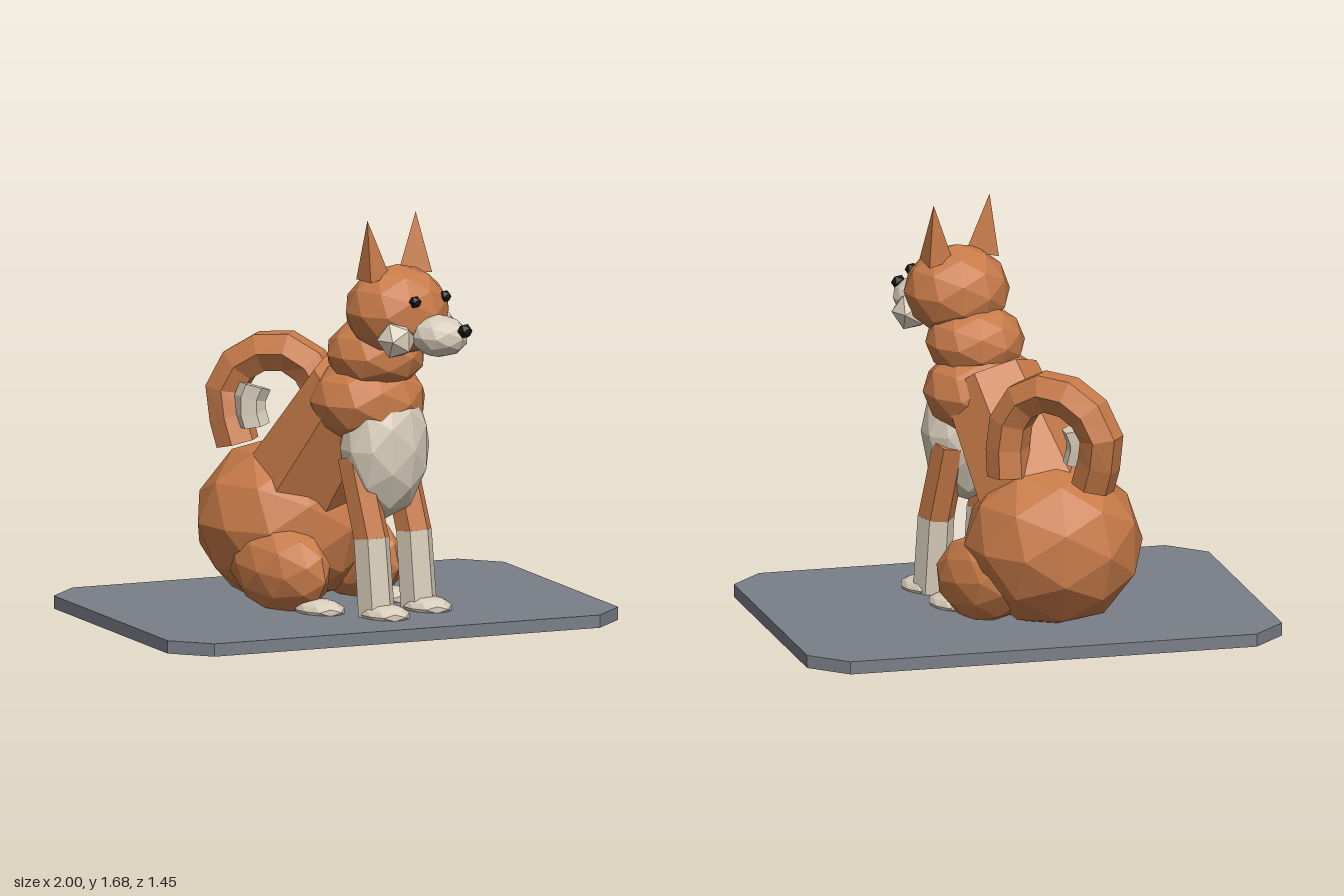
import * as THREE from 'three';

const mat = (name, color) => {
  const m = new THREE.MeshStandardMaterial({ color });
  m.name = name;
  m.flatShading = true;
  return m;
};

// Capped tube through a path lying in an upright plane, with constant side vector
function cappedTube(points, radius, sides, steps) {
  const curve = new THREE.CatmullRomCurve3(points.map(p => new THREE.Vector3(...p)));
  const a = points[0], b = points[points.length - 1];
  const side = new THREE.Vector3(b[2] - a[2], 0, a[0] - b[0]).normalize();
  side.set(-side.x, 0, -side.z).cross(new THREE.Vector3(0, 1, 0)).cross(new THREE.Vector3(0, 1, 0));
  const pos = [], index = [];
  for (let i = 0; i <= steps; i++) {
    const c = curve.getPointAt(i / steps);
    const n = curve.getTangentAt(i / steps).cross(side).normalize();
    for (let j = 0; j < sides; j++) {
      const t = (j / sides) * Math.PI * 2;
      const p = c.clone().addScaledVector(side, Math.cos(t) * radius).addScaledVector(n, Math.sin(t) * radius);
      pos.push(p.x, p.y, p.z);
    }
  }
  for (let i = 0; i < steps; i++) for (let j = 0; j < sides; j++) {
    const k = (j + 1) % sides, r = i * sides, q = r + sides;
    index.push(r + j, r + k, q + j, r + k, q + k, q + j);
  }
  const last = steps * sides;
  for (let j = 1; j < sides - 1; j++) {
    index.push(0, j + 1, j, last, last + j, last + j + 1);
  }
  const g = new THREE.BufferGeometry();
  g.setAttribute('position', new THREE.Float32BufferAttribute(pos, 3));
  g.setIndex(index);
  g.computeVertexNormals();
  return g;
}

export function createModel() {
  const fur = mat('orangeFur', 0xc87b49);
  const cream = mat('creamFur', 0xd8cdbb);
  const black = mat('black', 0x1a1616);
  const slate = mat('slate', 0x7a7e87);

  const root = new THREE.Group();
  root.name = 'sittingDog';
  const dog = new THREE.Group();
  dog.name = 'dog';
  dog.position.set(-0.02, 0, 0.01);
  dog.rotation.y = 0.436;
  root.add(dog);

  const add = (parent, name, geometry, material) => {
    const m = new THREE.Mesh(geometry, material);
    m.name = name;
    parent.add(m);
    return m;
  };
  // Faceted ellipsoid
  const ball = (name, material, [x, y, z], [rx, ry, rz], detail = 1) => {
    const m = add(dog, name, new THREE.IcosahedronGeometry(1, detail), material);
    m.position.set(x, y, z);
    m.scale.set(rx, ry, rz);
    return m;
  };
  // Tapered prism between two points, with one edge along the back
  const limb = (name, material, from, to, r0, r1, sides = 6) => {
    const a = new THREE.Vector3(...from), b = new THREE.Vector3(...to);
    const d = b.clone().sub(a);
    const g = new THREE.CylinderGeometry(r1, r0, d.length(), sides);
    g.rotateY(Math.PI);
    const m = add(dog, name, g, material);
    m.position.copy(a).add(b).multiplyScalar(0.5);
    m.quaternion.setFromUnitVectors(new THREE.Vector3(0, 1, 0), d.normalize());
  };

  // Base plate with cut corners
  const w = 1, h = 0.725, c = 0.145;
  const outline = new THREE.Shape([
    [w - c, -h], [w, c - h], [w, h - c], [w - c, h],
    [c - w, h], [-w, h - c], [-w, c - h], [c - w, -h],
  ].map(p => new THREE.Vector2(...p)));
  const plate = new THREE.ExtrudeGeometry(outline, { depth: 0.053, bevelEnabled: false });
  plate.rotateX(-Math.PI / 2);
  add(root, 'basePlate', plate, slate);

  // Body
  ball('rump', fur, [0, 0.365, -0.262], [0.365, 0.35, 0.37]);
  limb('torso', fur, [0, 0.45, -0.215], [0, 0.962, 0.15], 0.265, 0.21, 7);
  ball('shoulders', fur, [0, 0.915, 0.19], [0.25, 0.185, 0.235]);
  ball('neck', fur, [0, 1.11, 0.235], [0.205, 0.155, 0.205]);
  ball('chestPatch', cream, [0, 0.73, 0.283], [0.205, 0.3, 0.168]);

  // Head
  ball('head', fur, [0, 1.3, 0.352], [0.22, 0.19, 0.215]);
  ball('muzzle', cream, [0, 1.22, 0.578], [0.108, 0.088, 0.13]);
  ball('nose', black, [0, 1.255, 0.72], [0.032, 0.032, 0.032], 0);

  for (const s of [-1, 1]) {
    const side = s > 0 ? 'left' : 'right';
    ball(side + 'Eye', black, [s * 0.092, 1.365, 0.53], [0.027, 0.027, 0.027], 0);
    ball(side + 'Cheek', cream, [s * 0.14, 1.21, 0.47], [0.083, 0.083, 0.083], 0);

    // Three-sided ear
    const earShape = new THREE.ConeGeometry(0.08, 0.245, 3);
    earShape.rotateY(-s * Math.PI / 2 - 0.4);
    const ear = add(dog, side + 'Ear', earShape, fur);
    ear.position.set(s * 0.141, 1.5625, 0.328);
    ear.rotation.set(-0.06, 0, -s * 0.06);

    // Front leg
    const x = s * 0.13;
    limb(side + 'FrontUpperLeg', fur, [x, 0.36, 0.33], [x, 0.7, 0.235], 0.075, 0.073);
    limb(side + 'FrontLowerLeg', cream, [x, 0.05, 0.355], [x, 0.375, 0.327], 0.078, 0.076);
    ball(side + 'FrontPaw', cream, [x, 0.065, 0.4], [0.088, 0.045, 0.115]);

    // Hind leg
    const haunch = ball(side + 'Haunch', fur, [s * 0.225, 0.215, -0.085], [0.145, 0.185, 0.25]);
    haunch.rotation.x = 0.15;
    ball(side + 'HindPaw', cream, [s * 0.215, 0.065, 0.12], [0.085, 0.045, 0.12]);
  }

  // Curled tail with pale underside
  add(root, 'tail', cappedTube([
    [0.06, 0.66, -0.24], [0.06, 0.82, -0.23], [0.03, 0.95, -0.26], [-0.06, 1.035, -0.36],
    [-0.18, 1.0, -0.48], [-0.25, 0.87, -0.54], [-0.23, 0.65, -0.475],
  ], 0.09, 6, 9), fur);
  add(root, 'tailUnderside', cappedTube([
    [-0.18, 0.89, -0.41], [-0.2, 0.82, -0.425], [-0.185, 0.73, -0.41],
  ], 0.065, 6, 3), cream);

  return root;
}
